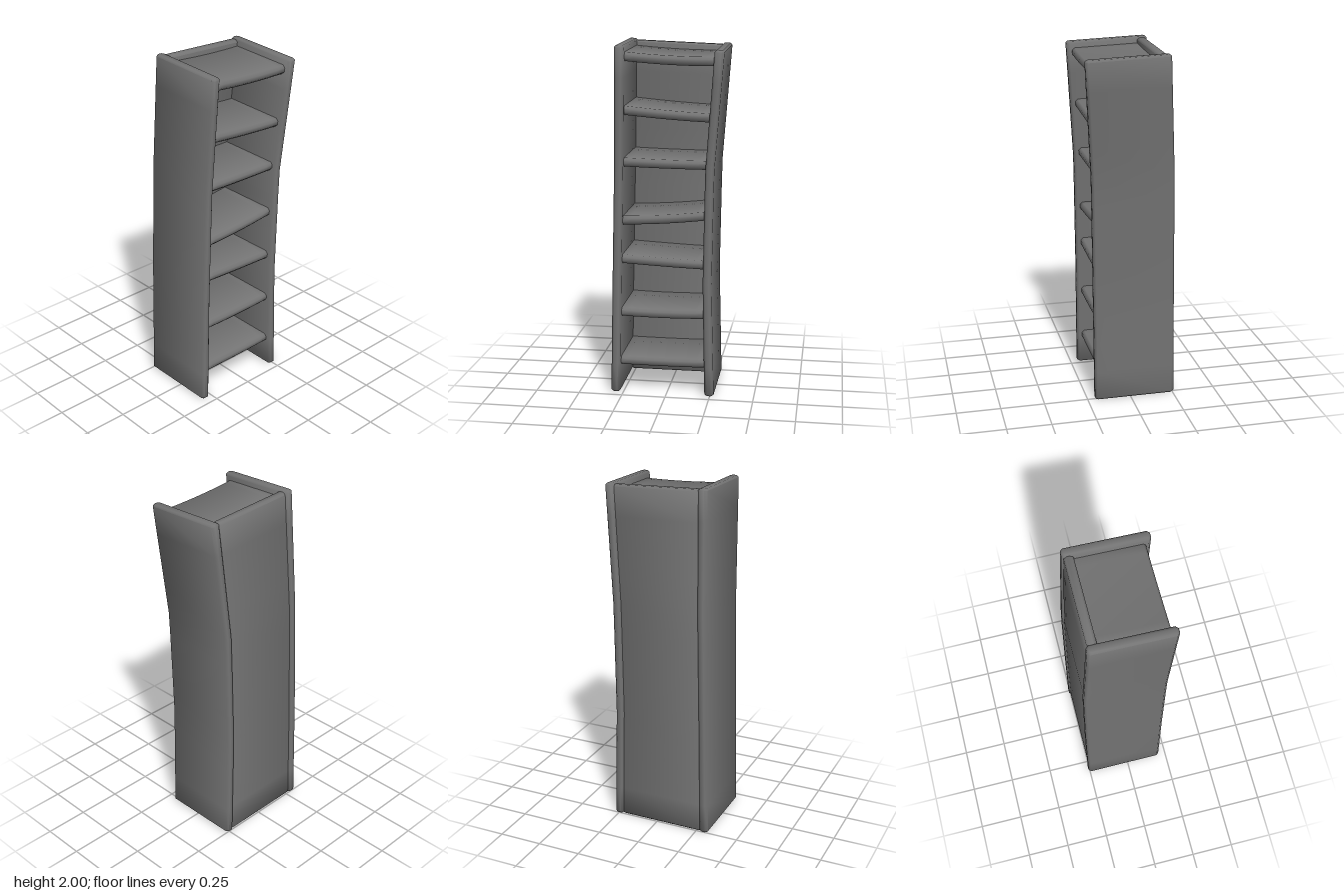
import * as THREE from 'three';
import { toCreasedNormals } from 'three/addons/utils/BufferGeometryUtils.js';

const material = new THREE.MeshStandardMaterial({ color: 0x747474 });

// Linear interpolation through [y, value] knots
function along(knots, y) {
  let i = 1;
  while (i < knots.length - 1 && y > knots[i][0]) i++;
  const [y0, a] = knots[i - 1], [y1, b] = knots[i];
  return a + (b - a) * THREE.MathUtils.clamp((y - y0) / (y1 - y0), 0, 1);
}

// Centre lines of the two side panels and of the depth, giving the crooked stance
const leftX = [[0, 0.246], [0.65, 0.231], [1.3, 0.242], [1.98, 0.296]];
const rightX = [[0, -0.295], [0.65, -0.282], [1.3, -0.265], [1.98, -0.248]];
const depthZ = [[0, -0.025], [0.65, -0.023], [1.3, -0.015], [1.98, 0.025]];
const SPAN = 0.54;

// Moves every vertex of a straight part into the crooked shape
function bend(geometry) {
  const p = geometry.attributes.position;
  for (let i = 0; i < p.count; i++) {
    const x = p.getX(i), y = p.getY(i), z = p.getZ(i);
    const lean = 0.042 * THREE.MathUtils.clamp((y - 1) / 0.9, 0, 1);
    p.setXYZ(i,
      THREE.MathUtils.lerp(along(rightX, y), along(leftX, y), x / SPAN + 0.5),
      y - lean * (x + z),
      z + along(depthZ, y));
  }
}

// Chamfered plank of section w x h, running along +z from 0 to length
function plank(w, h, length, steps) {
  const c = 0.014, b = 0.01, x = w / 2, y = h / 2;
  const corners = [
    [x, y - c], [x - c, y], [c - x, y], [-x, y - c],
    [-x, c - y], [c - x, -y], [x - c, -y], [x, c - y],
  ];
  const shape = new THREE.Shape(corners.map(([u, v]) => new THREE.Vector2(u, v)));
  return new THREE.ExtrudeGeometry(shape, {
    depth: length - 2 * b, steps,
    bevelSize: b, bevelThickness: b, bevelOffset: -b, bevelSegments: 1,
  }).translate(0, 0, b);
}

// Bends a part and shades its chamfers softly into the faces
function finish(geometry, name) {
  bend(geometry);
  const mesh = new THREE.Mesh(toCreasedNormals(geometry, Math.PI / 3), material);
  mesh.name = name;
  return mesh;
}

export function createModel() {
  const group = new THREE.Group();
  group.name = 'crookedBookcase';

  // Side panels
  for (const [side, name] of [[1, 'leftPanel'], [-1, 'rightPanel']]) {
    const g = plank(0.053, 0.465, 1.98, 12).rotateX(-Math.PI / 2);
    group.add(finish(g.translate(side * SPAN / 2, 0, 0), name));
  }

  // Back board, slightly recessed between the panels
  const back = plank(0.51, 0.052, 1.973, 12).rotateX(-Math.PI / 2);
  group.add(finish(back.translate(0, 0, -0.198), 'backBoard'));

  // Warped shelves: heights at the right end, middle and left end
  const shelves = [
    [0.183, 0.181, 0.184], [0.474, 0.469, 0.475], [0.785, 0.772, 0.763],
    [1.008, 1.02, 1.046], [1.338, 1.335, 1.337], [1.627, 1.612, 1.605],
    [1.92, 1.911, 1.917],
  ];
  shelves.forEach(([a, m, c], i) => {
    const g = plank(0.392, 0.05, 0.51, 10).rotateY(Math.PI / 2).translate(-0.255, 0, 0.008);
    const p = g.attributes.position;
    for (let k = 0; k < p.count; k++) {
      const u = p.getX(k) / 0.255;
      p.setY(k, p.getY(k) + m + u * (c - a) / 2 + u * u * ((a + c) / 2 - m));
    }
    group.add(finish(g, 'shelf' + (i + 1)));
  });

  return group;
}
